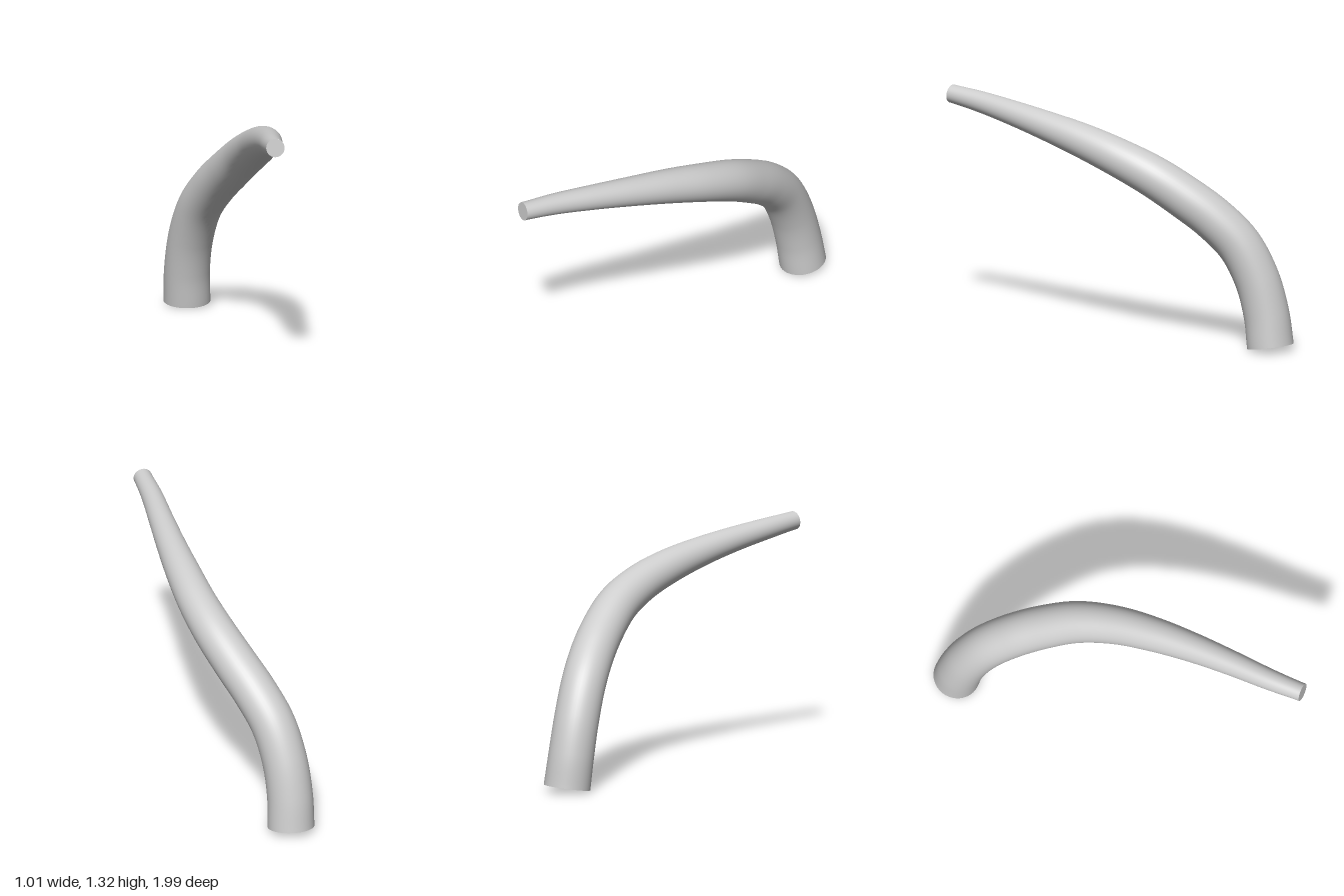
import * as THREE from 'three';

// Centre line of the horn: x, y, z and radius, from base to tip
const STATIONS = [
  [0.373, 0.022, -0.868, 0.132],
  [0.355, 0.2, -0.845, 0.129],
  [0.338, 0.4, -0.79, 0.127],
  [0.323, 0.59, -0.69, 0.126],
  [0.31, 0.735, -0.545, 0.125],
  [0.29, 0.85, -0.385, 0.123],
  [0.25, 0.962, -0.2, 0.118],
  [0.17, 1.05, 0, 0.109],
  [0.058, 1.118, 0.2, 0.098],
  [-0.07, 1.17, 0.4, 0.084],
  [-0.21, 1.213, 0.6, 0.071],
  [-0.355, 1.248, 0.8, 0.06],
  [-0.465, 1.27, 0.967, 0.052],
];
const LENGTH_STEPS = 96;
const SIDES = 40;

export function createModel() {
  const group = new THREE.Group();
  group.name = 'curvedHorn';
  const grey = new THREE.MeshStandardMaterial({ color: 0xcccccc });
  grey.name = 'light grey';

  const path = new THREE.CatmullRomCurve3(STATIONS.map(([x, y, z]) => new THREE.Vector3(x, y, z)));
  const radii = new THREE.SplineCurve(STATIONS.map((s, i) => new THREE.Vector2(i, s[3])));

  // Tapered body: a unit tube whose rings are scaled about the centre line
  const body = new THREE.TubeGeometry(path, LENGTH_STEPS, 1, SIDES, false);
  const pos = body.attributes.position;
  const v = new THREE.Vector3();
  for (let i = 0; i <= LENGTH_STEPS; i++) {
    const u = i / LENGTH_STEPS;
    const centre = path.getPointAt(u);
    const radius = radii.getPoint(path.getUtoTmapping(u)).y;
    for (let j = 0; j <= SIDES; j++) {
      const k = i * (SIDES + 1) + j;
      v.fromBufferAttribute(pos, k).sub(centre).multiplyScalar(radius).add(centre);
      pos.setXYZ(k, v.x, v.y, v.z);
    }
  }
  const bodyMesh = new THREE.Mesh(body, grey);
  bodyMesh.name = 'body';
  group.add(bodyMesh);

  // Flat discs closing both ends, facing outward
  const addCap = (name, u, radius, sign) => {
    const cap = new THREE.Mesh(new THREE.CircleGeometry(radius, SIDES), grey);
    cap.name = name;
    cap.position.copy(path.getPointAt(u));
    cap.quaternion.setFromUnitVectors(
      new THREE.Vector3(0, 0, 1),
      path.getTangentAt(u).multiplyScalar(sign)
    );
    group.add(cap);
  };
  addCap('baseCap', 0, STATIONS[0][3], -1);
  addCap('tipCap', 1, STATIONS[STATIONS.length - 1][3], 1);

  return group;
}
